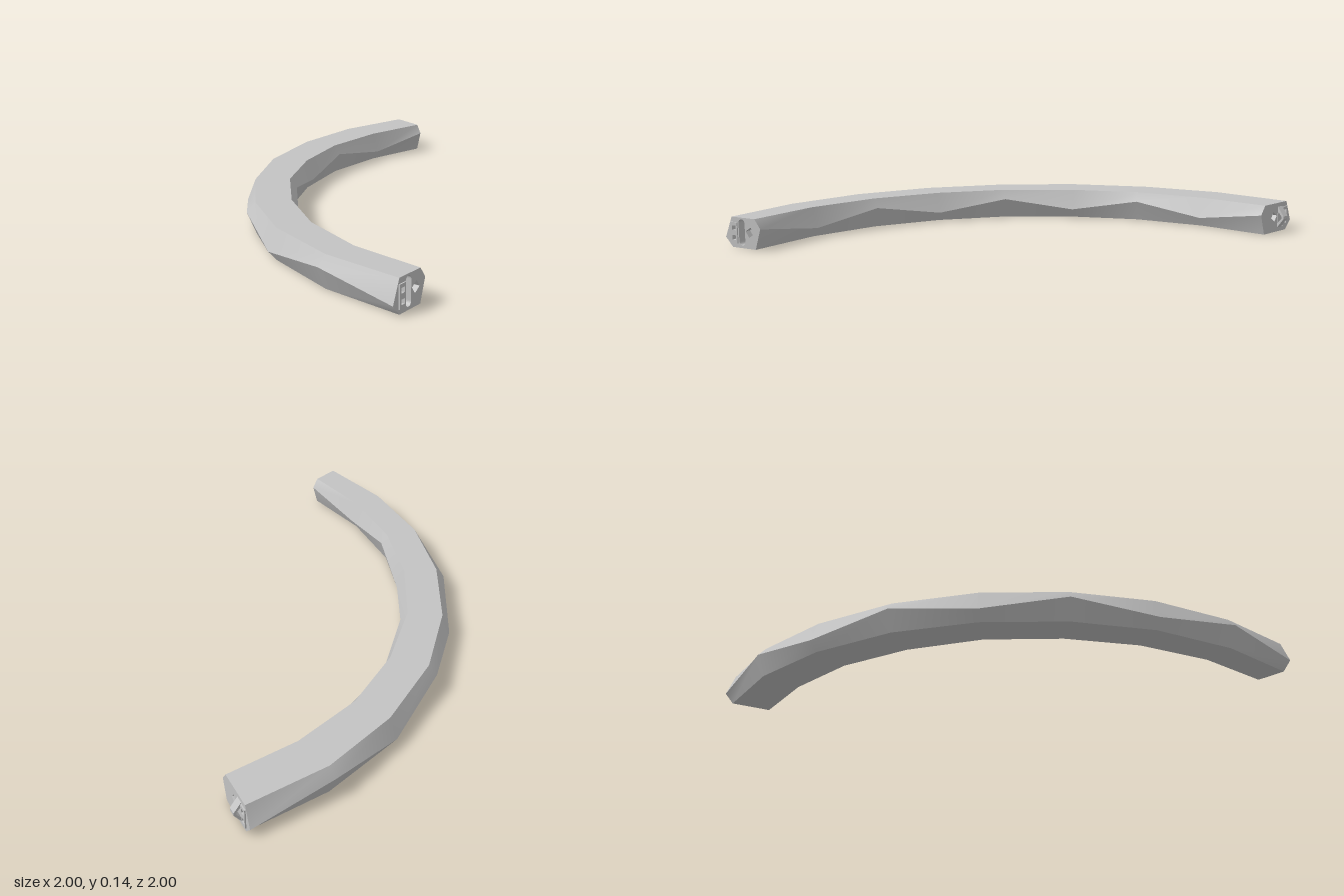
import * as THREE from 'three';

const H = 0.145, LOW = 0.045, HIGH = 0.1;   // bar height and the two ridge heights
const OUT_BEVEL = 0.04, IN_BEVEL = 0.032;

// Widest points (x, z) of the outer and inner ridges along the bend
const outer = [[-0.98, -0.975], [-1, -0.57], [-0.92, -0.18], [-0.745, 0.2], [-0.49, 0.513],
  [-0.17, 0.76], [0.197, 0.928], [0.6, 1], [0.995, 0.978]];
const inner = [[-0.724, -0.933], [-0.736, -0.593], [-0.678, -0.253], [-0.538, 0.056], [-0.326, 0.34],
  [-0.048, 0.557], [0.262, 0.706], [0.605, 0.78], [0.96, 0.773]];

const grey = new THREE.MeshStandardMaterial({ color: 0xc3c3c3, side: THREE.DoubleSide });
grey.name = 'grey';

function mesh(name, geometry) {
  const m = new THREE.Mesh(geometry, grey);
  m.name = name;
  return m;
}

// Six-sided section as [distance from outer ridge, height]
const section = (w, outY, inY) => [[0, outY], [OUT_BEVEL, H], [w - IN_BEVEL, H],
  [w, inY], [w - IN_BEVEL, 0], [OUT_BEVEL, 0]];

const spanAt = i => Math.hypot(inner[i][0] - outer[i][0], inner[i][1] - outer[i][1]);

// Bar: hexagonal sections whose side ridges zigzag up and down.
// Each of the six strips has its own vertices: smooth along, sharp between.
function barGeometry() {
  const rings = outer.map(([ox, oz], i) => {
    const w = spanAt(i), dx = (inner[i][0] - ox) / w, dz = (inner[i][1] - oz) / w;
    const odd = i % 2 === 1;
    return section(w, odd ? HIGH : LOW, odd ? LOW : HIGH)
      .map(([u, y]) => [ox + dx * u, y, oz + dz * u]);
  });
  const pos = [], index = [];
  for (let j = 0; j < 6; j++) {
    rings.forEach((ring, i) => {
      const a = pos.length / 3;
      pos.push(...ring[j], ...ring[(j + 1) % 6]);
      if (i < rings.length - 1) index.push(a, a + 2, a + 3, a, a + 3, a + 1);
    });
  }
  const g = new THREE.BufferGeometry();
  g.setAttribute('position', new THREE.Float32BufferAttribute(pos, 3));
  g.setIndex(index);
  g.computeVertexNormals();
  return g;
}

const polygon = pts => new THREE.Shape(pts.map(p => new THREE.Vector2(...p)));

function rect(cx, cy, w, h, angle = 0) {
  const c = Math.cos(angle), s = Math.sin(angle);
  return polygon([[-1, -1], [1, -1], [1, 1], [-1, 1]].map(([a, b]) => {
    const x = a * w / 2, y = b * h / 2;
    return [cx + x * c - y * s, cy + x * s + y * c];
  }));
}

function pill(cx, cy, w, h) {
  const r = w / 2, k = h / 2 - r, s = new THREE.Shape();
  s.absarc(cx, cy + k, r, 0, Math.PI);
  s.absarc(cx, cy - k, r, Math.PI, Math.PI * 2);
  s.closePath();
  return s;
}

// Recess: side walls and a floor behind a hole in the end face
function pocket(name, shape, depth) {
  const g = new THREE.Group();
  g.name = name;
  const pts = shape.getPoints(6), pos = [];
  pts.forEach((p, i) => {
    const q = pts[(i + 1) % pts.length];
    pos.push(p.x, p.y, 0, q.x, q.y, -depth, q.x, q.y, 0,
      p.x, p.y, 0, p.x, p.y, -depth, q.x, q.y, -depth);
  });
  const walls = new THREE.BufferGeometry();
  walls.setAttribute('position', new THREE.Float32BufferAttribute(pos, 3));
  walls.computeVertexNormals();
  g.add(mesh(name + 'Walls', walls));
  g.add(mesh(name + 'Floor', new THREE.ShapeGeometry(shape, 6).translate(0, 0, -depth)));
  return g;
}

// End face in its own frame: x across, y up, z outward
function endFace(name, i, mirrored) {
  const w = spanAt(i), g = new THREE.Group();
  g.name = name;
  const ux = u => mirrored ? w - u : u;
  const face = polygon(section(w, LOW, HIGH).map(([u, y]) => [ux(u), y]));
  const squares = [0.048, 0.094].map(y => rect(ux(0.055), y, 0.022, 0.022));
  const sideHole = rect(ux(0.146), 0.078, 0.037, 0.035, mirrored ? -0.6 : 0.6);
  const cuts = [...squares, sideHole];
  squares.forEach(s => g.add(pocket('pinHole', s, 0.03)));
  g.add(pocket('sideHole', sideHole, 0.03));

  // Thin plate framing the two pin holes
  const plate = rect(ux(0.055), 0.071, 0.038, 0.1);
  plate.holes.push(...squares);
  g.add(mesh('pinPlate', new THREE.ExtrudeGeometry(plate, { depth: 0.006, bevelEnabled: false })));

  if (mirrored) {
    // Pointed loop that plugs into the next piece's slot
    const loop = polygon([[0, 0.02], [0.034, 0.066], [0.034, 0.08], [0, 0.125]]);
    loop.holes.push(polygon([[0.003, 0.045], [0.022, 0.066], [0.022, 0.078], [0.003, 0.1]]));
    const tab = new THREE.ExtrudeGeometry(loop, { depth: 0.036, bevelEnabled: false });
    tab.translate(0, 0, -0.018).rotateY(-Math.PI / 2).translate(ux(0.096), 0, 0);
    g.add(mesh('connectorTab', tab));
  } else {
    const slot = pill(ux(0.098), 0.075, 0.036, 0.124);
    cuts.push(slot);
    g.add(pocket('connectorSlot', slot, 0.045));
  }

  face.holes.push(...cuts);
  g.add(mesh('endPlate', new THREE.ShapeGeometry(face, 6)));

  const [from, to] = mirrored ? [inner[i], outer[i]] : [outer[i], inner[i]];
  g.position.set(from[0], 0, from[1]);
  g.rotation.y = Math.atan2(from[1] - to[1], to[0] - from[0]);
  return g;
}

export function createModel() {
  const model = new THREE.Group();
  model.name = 'curvedBar';
  model.add(mesh('bar', barGeometry()));
  model.add(endFace('plugEnd', 0, true));
  model.add(endFace('socketEnd', outer.length - 1, false));
  return model;
}
